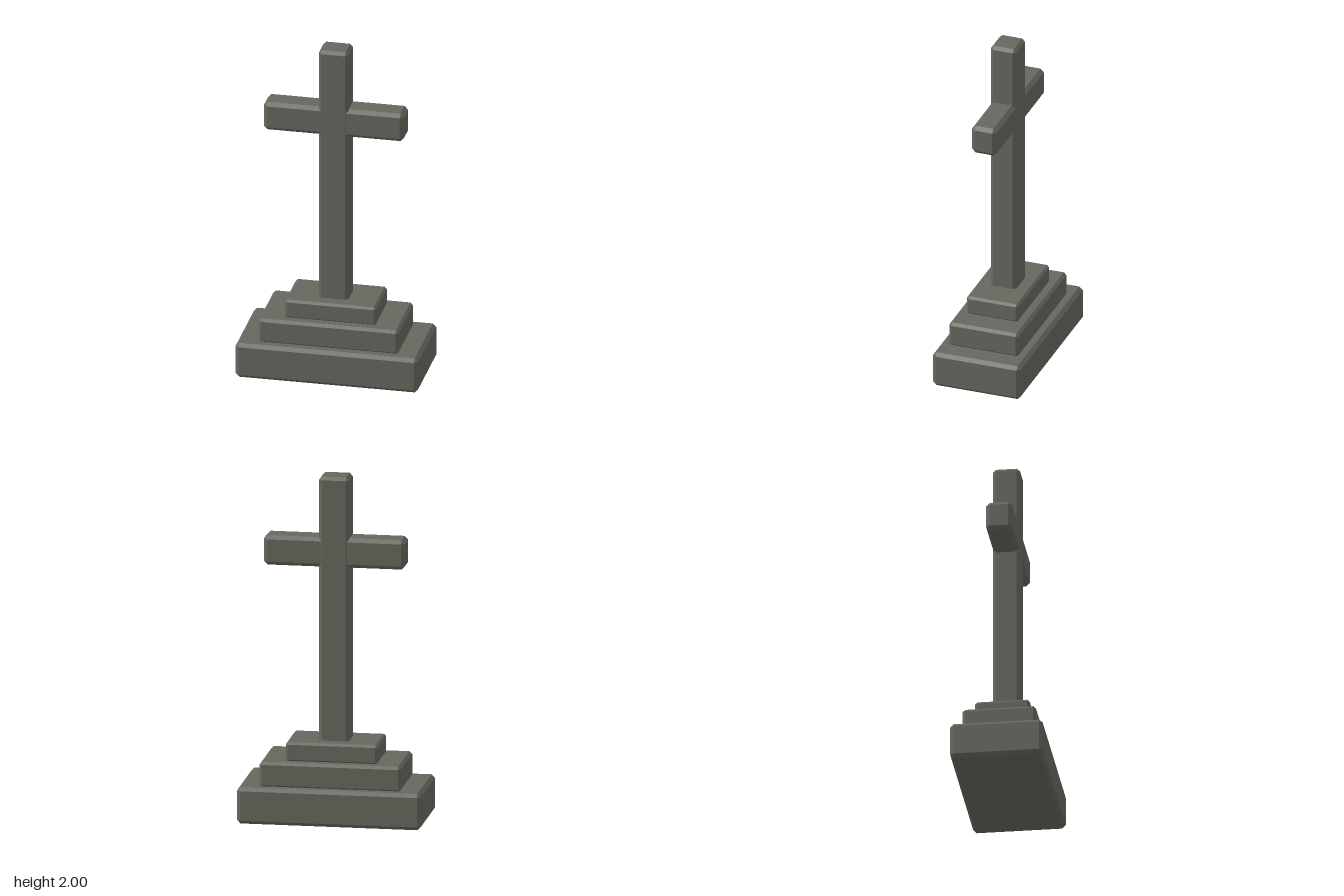
import * as THREE from 'three';
import { ConvexGeometry } from 'three/addons/geometries/ConvexGeometry.js';

const stone = new THREE.MeshStandardMaterial({ color: 0x66675e });
stone.name = 'weathered stone';

// Box with every edge and corner cut flat; hx and hz are half sizes.
function chamferedBlock(name, hx, y0, y1, hz, bevel) {
  const half = [hx, (y1 - y0) / 2, hz];
  const points = [];
  for (const sx of [-1, 1]) for (const sy of [-1, 1]) for (const sz of [-1, 1]) {
    const sign = [sx, sy, sz];
    for (let face = 0; face < 3; face++) {
      const p = half.map((h, axis) => sign[axis] * (axis === face ? h : h - bevel));
      points.push(new THREE.Vector3(...p));
    }
  }
  const mesh = new THREE.Mesh(new ConvexGeometry(points), stone);
  mesh.name = name;
  mesh.position.y = (y0 + y1) / 2;
  return mesh;
}

export function createModel() {
  const model = new THREE.Group();
  model.name = 'stoneCross';
  model.add(
    // stepped plinth
    chamferedBlock('lowerStep', 0.53, 0, 0.212, 0.265, 0.02),
    chamferedBlock('middleStep', 0.407, 0.205, 0.354, 0.211, 0.016),
    chamferedBlock('upperStep', 0.265, 0.349, 0.462, 0.157, 0.013),
    // cross, with the bar slightly thinner than the shaft
    chamferedBlock('shaft', 0.087, 0.42, 2, 0.078, 0.018),
    chamferedBlock('crossbar', 0.407, 1.473, 1.645, 0.075, 0.021)
  );
  return model;
}
